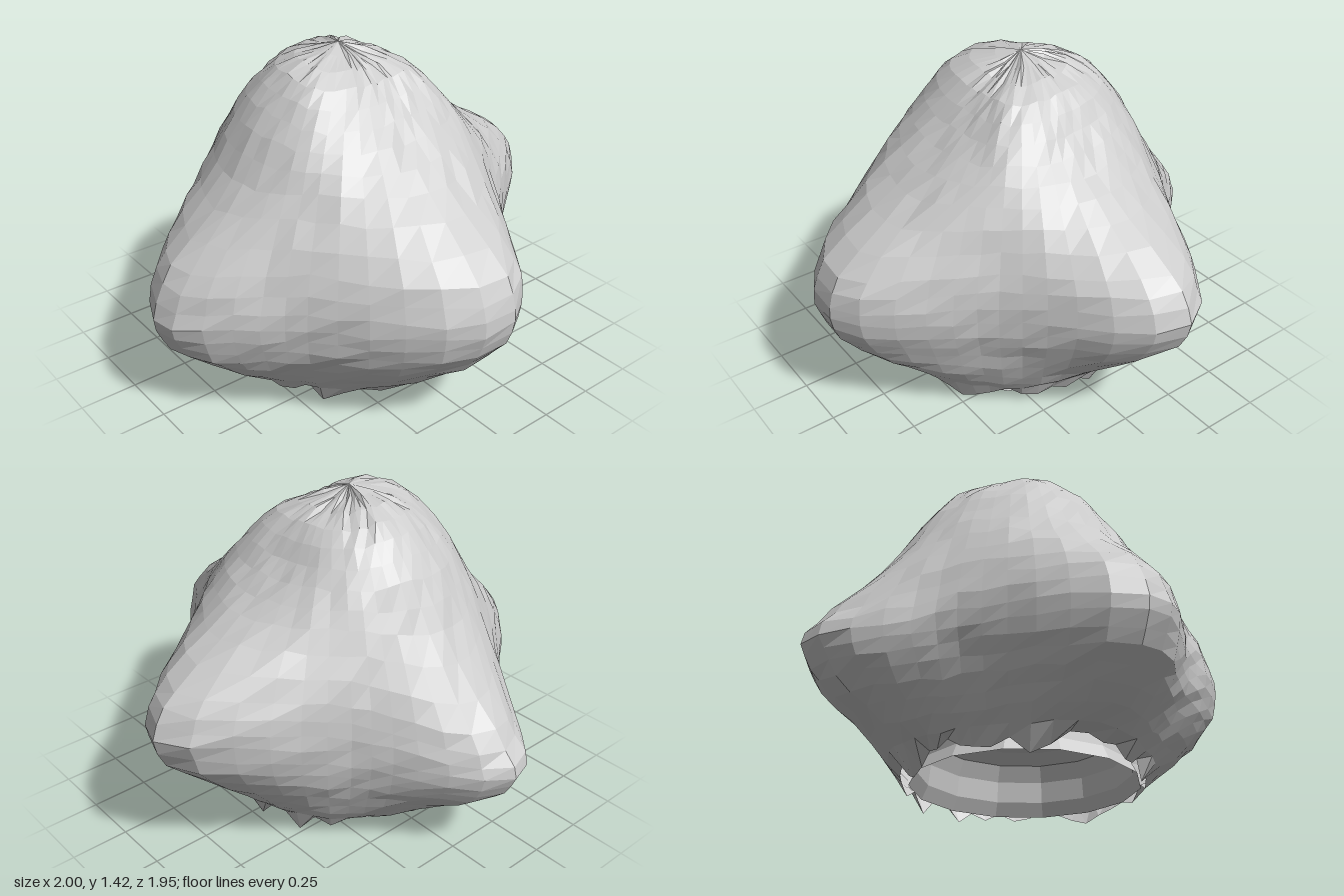
import * as THREE from 'three';

// Profiles around the rock: angle in degrees from +x towards +z,
// then [radius, height] from the bottom rim up to the crown.
const PROFILES = [
  [-4, [[.47, .06], [.62, .21], [.92, .47], [1, .66], [.88, .82], [.56, 1], [.35, 1.17], [.2, 1.33]]],
  [44, [[.5, .05], [.58, .2], [.64, .4], [.665, .58], [.63, .78], [.53, 1], [.4, 1.17], [.23, 1.33]]],
  [88, [[.54, .05], [.78, .25], [.92, .4], [.98, .56], [.92, .73], [.6, .96], [.36, 1.15], [.18, 1.32]]],
  [141, [[.54, .05], [.66, .2], [.75, .37], [.77, .53], [.72, .73], [.58, .98], [.45, 1.16], [.28, 1.33]]],
  [180, [[.58, .05], [.8, .2], [.96, .34], [1, .5], [.9, .69], [.62, .95], [.46, 1.2], [.3, 1.36]]],
  [226, [[.52, .05], [.62, .2], [.69, .37], [.72, .53], [.68, .73], [.58, .97], [.46, 1.18], [.29, 1.34]]],
  [265, [[.47, .05], [.72, .2], [.92, .33], [.98, .45], [.87, .62], [.6, .93], [.44, 1.2], [.27, 1.36]]],
  [306, [[.48, .05], [.56, .2], [.63, .38], [.65, .56], [.63, .75], [.52, 1], [.41, 1.18], [.25, 1.34]]],
];
const COLS = 48, ROWS = 22, TOP = 1.42;

// Small seeded random numbers
function makeRandom(seed) {
  return () => (seed = (seed * 16807) % 2147483647) / 2147483647;
}

// Smooth closed interpolation between the profiles
function around(u, pick) {
  const n = PROFILES.length, i = Math.floor(u), t = u - i;
  const [a, b, c, d] = [-1, 0, 1, 2].map(k => pick(PROFILES[(i + k + n) % n]));
  return b + 0.5 * t * (c - a + t * (2 * a - 5 * b + 4 * c - d + t * (3 * (b - c) + d - a)));
}

// Vertical curve of the rock at profile position u
function profileAt(u) {
  const i = Math.floor(u), n = PROFILES.length;
  const from = PROFILES[i][0];
  const to = i + 1 < n ? PROFILES[i + 1][0] : PROFILES[0][0] + 360;
  const angle = THREE.MathUtils.degToRad(from + (to - from) * (u - i));
  const points = PROFILES[0][1].map((_, level) => {
    // Blending inverse cubes keeps the lobes narrow and the sides hollow
    const r = around(u, p => p[1][level][0] ** -3) ** (-1 / 3);
    const y = around(u, p => p[1][level][1]);
    return new THREE.Vector3(r * Math.cos(angle), y, r * Math.sin(angle));
  });
  points.push(new THREE.Vector3(-0.04, TOP, -0.03));
  return new THREE.CatmullRomCurve3(points, false, 'centripetal').getPoints(ROWS);
}

function rockGeometry() {
  const random = makeRandom(71);
  const positions = [], index = [];
  for (let c = 0; c < COLS; c++) {
    profileAt((c / COLS) * PROFILES.length).forEach((p, row) => {
      // Uneven facets, and a broken rim at the bottom
      const rough = row < ROWS ? 0.018 : 0;
      const k = 1 + (random() - 0.5) * rough;
      let y = p.y + (random() - 0.5) * rough;
      if (row === 0) y = c % 9 === 0 ? 0 : 0.02 + 0.08 * random();
      positions.push(p.x * k, Math.min(y, TOP), p.z * k);
    });
  }
  const at = (c, r) => (c % COLS) * (ROWS + 1) + r;
  for (let c = 0; c < COLS; c++) {
    for (let r = 0; r < ROWS; r++) {
      index.push(at(c, r), at(c, r + 1), at(c + 1, r));
      if (r < ROWS - 1) index.push(at(c + 1, r), at(c, r + 1), at(c + 1, r + 1));
    }
  }
  const geometry = new THREE.BufferGeometry();
  geometry.setAttribute('position', new THREE.Float32BufferAttribute(positions, 3));
  geometry.setIndex(index);
  geometry.computeVertexNormals();
  return geometry;
}

export function createModel() {
  const group = new THREE.Group();
  group.name = 'rock';
  const material = new THREE.MeshStandardMaterial({
    color: 0xcccccc, flatShading: true, side: THREE.DoubleSide,
  });

  // Lobed outer shell
  const shell = new THREE.Mesh(rockGeometry(), material);
  shell.name = 'rockShell';
  group.add(shell);

  // Shallow hollow in the underside
  const hollowProfile = [[.48, .04], [.45, .1], [.44, .19], [.41, .26], [.34, .3], [0, .32]]
    .map(([r, y]) => new THREE.Vector2(r, y));
  const hollow = new THREE.Mesh(new THREE.LatheGeometry(hollowProfile, 14), material);
  hollow.name = 'undersideHollow';
  hollow.position.set(-0.03, 0, 0.03);
  group.add(hollow);

  return group;
}
